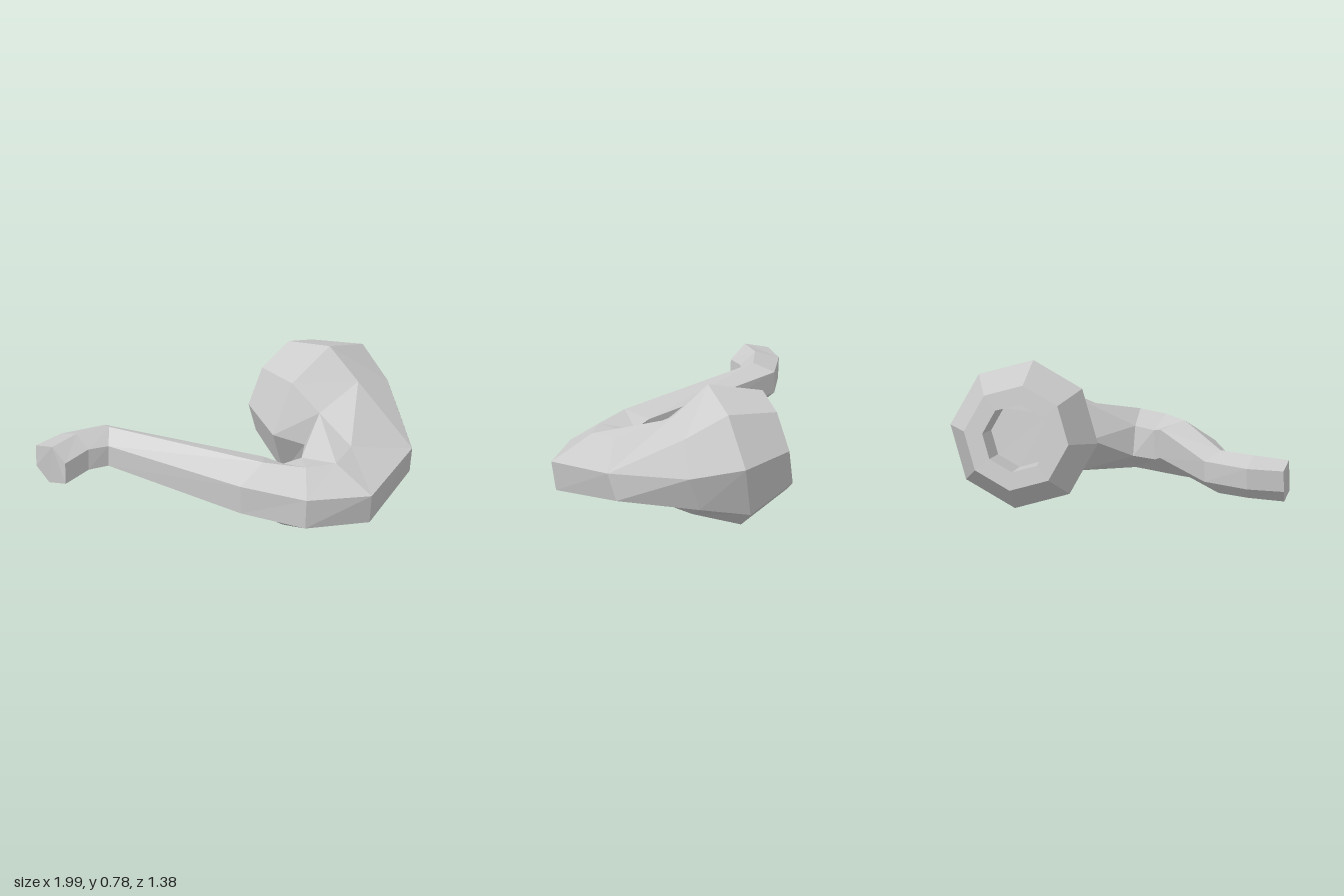
import * as THREE from 'three';

const V = (x, y, z) => new THREE.Vector3(x, y, z);

// Centrally symmetric cross-section: half its corners, then their opposites through the centre
function section(centre, corners) {
  const c = V(...centre);
  const half = corners.map((p) => V(...p));
  return [...half, ...half.map((p) => c.clone().multiplyScalar(2).sub(p))];
}

// Faceted skin through successive rings, optionally closed at either end
function loft(name, rings, { capStart = false, capEnd = false } = {}) {
  const pos = [];
  const tri = (a, b, c) => {
    const area = b.clone().sub(a).cross(c.clone().sub(a)).length();
    if (area > 1e-6) for (const p of [a, b, c]) pos.push(p.x, p.y, p.z);
  };
  for (let k = 0; k + 1 < rings.length; k++) {
    const a = rings[k], b = rings[k + 1], n = a.length;
    for (let i = 0; i < n; i++) {
      const j = (i + 1) % n;
      tri(a[i], b[i], b[j]);
      tri(a[i], b[j], a[j]);
    }
  }
  const first = rings[0], last = rings[rings.length - 1];
  for (let i = 1; i + 1 < first.length; i++) {
    if (capStart) tri(first[0], first[i], first[i + 1]);
    if (capEnd) tri(last[0], last[i + 1], last[i]);
  }
  const geometry = new THREE.BufferGeometry();
  geometry.setAttribute('position', new THREE.Float32BufferAttribute(pos, 3));
  geometry.computeVertexNormals();
  const material = new THREE.MeshStandardMaterial({ color: 0xcccccc, flatShading: true });
  const mesh = new THREE.Mesh(geometry, material);
  mesh.name = name;
  return mesh;
}

export function createModel() {
  const group = new THREE.Group();
  group.name = 'smokingPipe';

  // Bowl: eight-sided rings around a tilted axis
  const middle = V(0.6, 0.395, -0.185);
  const belly = section(middle.toArray(), [
    [0.305, 0.645, -0.09], [0.575, 0.785, -0.1], [0.86, 0.7, -0.165], [0.995, 0.43, -0.24],
  ]);
  const base = section([0.61, 0.35, 0.04], [
    [0.345, 0.52, 0.09], [0.615, 0.63, 0.09], [0.84, 0.57, 0.065], [0.925, 0.37, 0.055],
  ]);
  const scaled = (centre, s) => belly.map((p) => p.clone().sub(middle).multiplyScalar(s).add(centre));
  const mouth = V(0.56, 0.45, -0.46);
  const floor = mouth.clone().addScaledVector(V(0.15, -0.2, 0.97), 0.28);

  // Heel: where the eight-sided bowl turns into the six-sided shank
  const top = V(0.33, 0.42, 0.37), outerTop = V(0.68, 0.345, 0.46);
  const outerLow = V(0.7, 0.195, 0.415), bottom = V(0.4, 0.105, 0.2);
  const innerTop = base[0], innerLow = base[7];
  const heel = [innerTop, top, outerTop, outerTop, outerLow, bottom, innerLow, innerLow];
  const shankStart = [top, outerTop, outerLow, bottom, innerLow, innerTop];

  group.add(loft('bowl', [
    scaled(floor, 0.44), scaled(mouth, 0.46), scaled(mouth, 0.71), belly, base, heel,
  ], { capStart: true }));

  // Stem sections: centre, then top, outer upper and outer lower corners
  const bendA = section([0.158, 0.24, 0.445],
    [[0.15, 0.4, 0.46], [0.205, 0.27, 0.69], [0.21, 0.11, 0.665]]);
  const bendB = section([-0.065, 0.24, 0.368],
    [[-0.01, 0.4, 0.4], [-0.12, 0.28, 0.535], [-0.125, 0.12, 0.53]]);
  const bendC = section([-0.2, 0.28, 0.18],
    [[-0.17, 0.42, 0.235], [-0.335, 0.325, 0.24], [-0.33, 0.17, 0.24]]);
  const neck = section([-0.605, 0.387, -0.545],
    [[-0.605, 0.5, -0.525], [-0.665, 0.425, -0.46], [-0.665, 0.312, -0.46]]);
  const bit = section([-0.793, 0.387, -0.587],
    [[-0.8, 0.5, -0.565], [-0.785, 0.43, -0.485], [-0.785, 0.315, -0.48]]);
  const tip = section([-0.983, 0.372, -0.56],
    [[-0.99, 0.482, -0.54], [-0.967, 0.405, -0.46], [-0.967, 0.29, -0.455]]);

  group.add(loft('shank', [shankStart, bendA, bendB, bendC]));
  group.add(loft('stem', [bendC, neck]));
  group.add(loft('mouthpiece', [neck, bit, tip], { capEnd: true }));
  return group;
}
